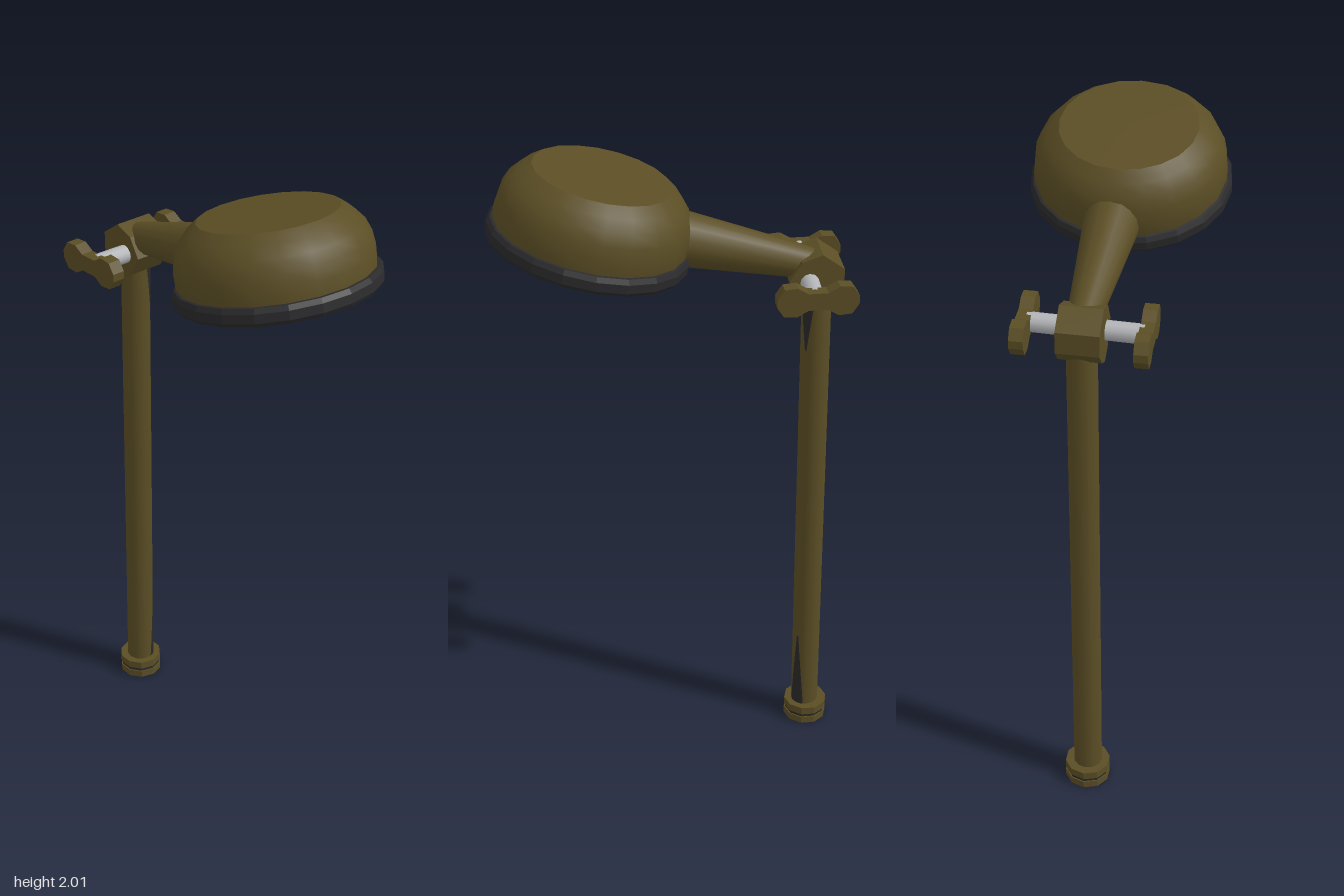
import * as THREE from 'three';

const olive = new THREE.MeshStandardMaterial({ color: 0x5b4e25 });
olive.name = 'olive';
const black = new THREE.MeshStandardMaterial({ color: 0x2a2a2c, side: THREE.DoubleSide });
black.name = 'black';
const steel = new THREE.MeshStandardMaterial({ color: 0xb4b5b8 });
steel.name = 'steel';

const v = (x, y, z) => new THREE.Vector3(x, y, z);
const flat = (g) => { const n = g.toNonIndexed(); n.computeVertexNormals(); return n; };

function add(parent, name, geometry, material) {
  const mesh = new THREE.Mesh(geometry, material);
  mesh.name = name;
  parent.add(mesh);
  return mesh;
}

// Tapered rod between two points
function rod(parent, name, a, b, ra, rb, sides, material) {
  const dir = b.clone().sub(a);
  const mesh = add(parent, name, new THREE.CylinderGeometry(rb, ra, dir.length(), sides), material);
  mesh.position.copy(a).add(b).multiplyScalar(0.5);
  mesh.quaternion.setFromUnitVectors(v(0, 1, 0), dir.normalize());
  return mesh;
}

const lathe = (pts, sides) =>
  new THREE.LatheGeometry(pts.map(([r, y]) => new THREE.Vector2(r, y)), sides);

// Thin dark wedge wrapped on the pole, wide at one end and pointed at the other
function wornPatch(parent, name, y0, height, pointUp) {
  const g = new THREE.CylinderGeometry(0.0455, 0.0455, height, 6, 4, true, 0.1, 1.2);
  const p = g.attributes.position;
  for (let i = 0; i < p.count; i++) {
    const t = p.getY(i) / height + 0.5;
    const width = pointUp ? 1 - t : t;
    const a = 0.75 + (Math.atan2(p.getX(i), p.getZ(i)) - 0.7) * (0.1 + 0.9 * width);
    p.setX(i, Math.sin(a) * 0.0455);
    p.setZ(i, Math.cos(a) * 0.0455);
  }
  g.computeVertexNormals();
  add(parent, name, g, black).position.y = y0 + height / 2 - 0.8;
}

export function createModel() {
  const model = new THREE.Group();
  model.name = 'pole with tilted round head';

  // Long, slightly leaning pole
  const pole = rod(model, 'pole', v(0.01, 0, -0.454), v(0.018, 1.6, -0.429), 0.0445, 0.0445, 12, olive);
  wornPatch(pole, 'lowerWornPatch', 0.04, 0.3, true);
  wornPatch(pole, 'upperWornPatch', 1.4, 0.19, false);

  // Foot cap with dark groove
  const foot = new THREE.Group();
  foot.name = 'foot';
  foot.position.set(0.011, 0, -0.455);
  model.add(foot);
  for (const [name, r, y, h, m] of [
    ['footLowerBand', 0.07, 0.012, 0.024, olive],
    ['footGroove', 0.066, 0.03, 0.014, black],
    ['footUpperBand', 0.07, 0.049, 0.026, olive],
    ['footPlug', 0.045, 0.003, 0.007, black],
  ]) add(foot, name, flat(new THREE.CylinderGeometry(r, r, h, 10)), m).position.y = y;

  // Faceted joint block at the top of the pole
  const joint = new THREE.Shape([
    [0.095, 0.0], [0.06, 0.06], [0.0, 0.082], [-0.065, 0.035],
    [-0.065, -0.03], [-0.03, -0.07], [0.01, -0.09], [0.05, -0.07],
  ].map(([z, y]) => new THREE.Vector2(-z, y)));
  const jointGeo = new THREE.ExtrudeGeometry(joint, { depth: 0.122, bevelEnabled: false });
  jointGeo.translate(0, 0, -0.061).rotateY(Math.PI / 2);
  add(model, 'jointBlock', jointGeo, olive).position.set(0.017, 1.64, -0.432);

  // Axle through the joint
  rod(model, 'axle', v(-0.15, 1.637, -0.402), v(0.175, 1.637, -0.394), 0.028, 0.028, 12, steel);

  // Wing nuts: two lobes joined by a narrower waist
  const lobes = [[0.118, 0.012], [0.098, 0.042], [0.06, 0.045], [0.028, 0.026]];
  const outline = [
    ...lobes, ...lobes.map(([a, b]) => [-a, b]).reverse(),
    ...lobes.map(([a, b]) => [-a, -b]), ...lobes.map(([a, b]) => [a, -b]).reverse(),
  ].map(([a, b]) => new THREE.Vector2(a, b));
  const wingGeo = new THREE.ExtrudeGeometry(new THREE.Shape(outline), { depth: 0.04, bevelEnabled: false });
  wingGeo.translate(0, 0, -0.02).rotateY(Math.PI / 2);
  for (const [name, x, z] of [['rightWingNut', -0.157, -0.408], ['leftWingNut', 0.182, -0.4]]) {
    const wing = add(model, name, wingGeo, olive);
    wing.position.set(x, 1.637, z);
    wing.rotation.y = 0.02;
  }

  // Tapered arm from joint to head
  rod(model, 'arm', v(0.018, 1.668, -0.42), v(0.007, 1.775, 0.02), 0.045, 0.086, 16, olive);

  // Tilted round head
  const head = new THREE.Group();
  head.name = 'head';
  head.position.set(-0.002, 1.763, 0.233);
  head.rotation.x = -0.223;
  model.add(head);
  add(head, 'dome', lathe([
    [0.278, 0.0], [0.282, 0.035], [0.283, 0.07], [0.277, 0.11], [0.262, 0.146], [0.235, 0.178], [0.202, 0.203],
  ], 20), olive);
  const lid = add(head, 'domeTop', new THREE.CircleGeometry(0.202, 20), olive);
  lid.rotation.x = -Math.PI / 2;
  lid.rotation.z = Math.PI / 2;
  lid.position.y = 0.203;
  add(head, 'rim', flat(lathe([
    [0.262, -0.026], [0.288, -0.026], [0.297, -0.014], [0.297, 0.012], [0.289, 0.026], [0.278, 0.028],
  ], 20)), black);
  add(head, 'underside', lathe([
    [0, -0.06], [0.1, -0.058], [0.19, -0.047], [0.267, -0.024],
  ], 20), olive);

  return model;
}
